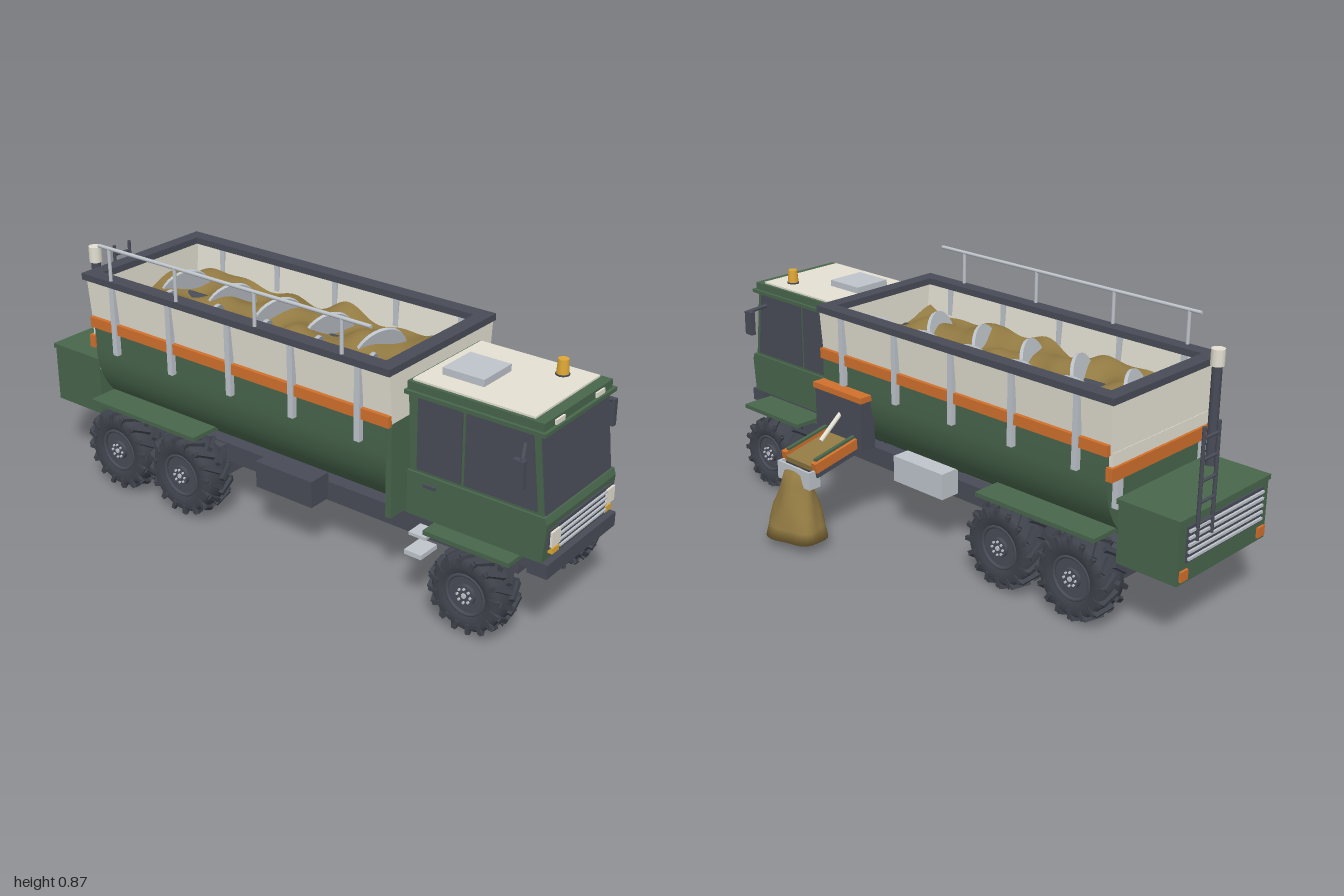
import * as THREE from 'three';
import { toCreasedNormals } from 'three/addons/utils/BufferGeometryUtils.js';

const paint = (name, color) => new THREE.MeshStandardMaterial({ name, color });

export function createModel() {
  const root = new THREE.Group();
  root.name = 'hopperTruck';
  const green = paint('green', 0x48664c), cream = paint('cream', 0xe4e0d3), dark = paint('darkSteel', 0x484c57);
  const rubber = paint('rubber', 0x3e424b), glass = paint('glass', 0x484b57), orange = paint('orange', 0xd0702c);
  const light = paint('lightSteel', 0xbec4cb), sand = paint('sand', 0x927a42), amber = paint('amber', 0xdfa836);
  cream.side = sand.side = THREE.DoubleSide;
  const C = -0.18, B = -0.145; // centre lines of cab and body

  const add = (name, mat, geo, parent = root) => {
    const m = new THREE.Mesh(geo, mat);
    m.name = name;
    parent.add(m);
    return m;
  };
  // box given by its extents
  const box = (name, mat, x0, x1, y0, y1, z0, z1, parent) => {
    const m = add(name, mat, new THREE.BoxGeometry(x1 - x0, y1 - y0, z1 - z0), parent);
    m.position.set((x0 + x1) / 2, (y0 + y1) / 2, (z0 + z1) / 2);
  };
  // the same box on both sides of a centre line
  const pair = (name, mat, c, u0, u1, ...rest) => {
    box(name, mat, c + u0, c + u1, ...rest);
    box(name, mat, c - u1, c - u0, ...rest);
  };
  const rod = (name, mat, a, b, r, parent) => {
    const p = new THREE.Vector3(...a), d = new THREE.Vector3(...b).sub(p);
    const m = add(name, mat, new THREE.CylinderGeometry(r, r, d.length(), 12), parent);
    m.position.copy(p).addScaledVector(d, 0.5);
    m.quaternion.setFromUnitVectors(new THREE.Vector3(0, 1, 0), d.normalize());
  };
  // side profile of (z, y) points extruded across x
  const side = (name, mat, pts, x0, x1) => {
    const s = new THREE.Shape(pts.map(p => new THREE.Vector2(...p)));
    const g = new THREE.ExtrudeGeometry(s, { depth: x1 - x0, bevelEnabled: false });
    add(name, mat, g.rotateY(-Math.PI / 2).translate(x1, 0, 0));
  };

  // Chassis
  pair('frameRail', dark, B, 0.1, 0.15, 0.175, 0.24, -0.92, 0.86);
  for (const z of [-0.9, 0.08, 0.33, 0.6]) box('crossMember', dark, B - 0.1, B + 0.1, 0.185, 0.23, z - 0.025, z + 0.025);
  box('frontAxle', dark, -0.31, 0.02, 0.115, 0.2, 0.73, 0.8);
  box('rearBogie', dark, B - 0.175, B + 0.175, 0.12, 0.235, -0.73, -0.26);
  box('toolTank', light, 0.01, 0.085, 0.195, 0.285, -0.06, 0.165);
  box('sideTank', dark, -0.375, -0.29, 0.18, 0.27, -0.06, 0.165);
  box('cabStep', light, -0.42, -0.34, 0.185, 0.2, 0.55, 0.61);
  box('cabStepTop', light, -0.4, -0.34, 0.24, 0.25, 0.55, 0.61);

  // Wheels with chevron lugs
  const addWheel = (x, z, R, out) => {
    const w = new THREE.Group();
    w.name = 'wheel';
    const k = R / 0.14;
    const tyre = [[0.068, -0.045], [0.085, -0.054], [0.112, -0.056], [0.124, -0.046], [0.128, -0.02], [0.128, 0.02],
      [0.124, 0.046], [0.112, 0.056], [0.085, 0.054], [0.068, 0.045]].map(p => new THREE.Vector2(p[0] * k, p[1]));
    add('tyre', rubber, new THREE.LatheGeometry(tyre, 40), w).rotation.z = Math.PI / 2;
    for (let i = 0; i < 32; i++) {
      const s = i % 2 ? 1 : -1, lug = new THREE.Group();
      lug.name = 'treadLug';
      lug.rotation.x = i / 32 * Math.PI * 2;
      const tread = add('lug', rubber, new THREE.BoxGeometry(0.062, 0.018, 0.014), lug);
      tread.position.set(s * 0.026, R - 0.01, 0);
      tread.rotation.set(0, s * 0.6, -s * 0.12);
      box('shoulderLug', rubber, s * 0.053 - 0.006, s * 0.053 + 0.006, R - 0.042, R - 0.011, -0.025, -0.011, lug);
      w.add(lug);
    }
    const disc = (name, mat, r, h, px) => {
      const d = add(name, mat, new THREE.CylinderGeometry(r, r, h, 28), w);
      d.rotation.z = Math.PI / 2;
      d.position.x = px;
    };
    disc('rim', dark, 0.07 * k, 0.08, 0);
    disc('hub', dark, 0.032, 0.1, out * 0.002);
    disc('hubCap', light, 0.008, 0.106, out * 0.003);
    const ring = add('rimRing', dark, new THREE.TorusGeometry(0.068 * k, 0.006, 8, 32), w);
    ring.rotation.y = Math.PI / 2;
    ring.position.x = out * 0.045;
    for (let i = 0; i < 8; i++) {
      const a = i / 8 * Math.PI * 2, y = Math.cos(a) * 0.022, q = Math.sin(a) * 0.022;
      rod('wheelBolt', light, [out * 0.05, y, q], [out * 0.057, y, q], 0.004, w);
    }
    w.position.set(x, R, z);
    root.add(w);
  };
  for (const s of [-1, 1]) {
    addWheel(B + s * 0.228, 0.765, 0.13, s);
    for (const z of [-0.35, -0.64]) addWheel(B + s * 0.228, z, 0.142, s);
  }
  pair('rearFender', green, B, 0.14, 0.295, 0.298, 0.312, -0.735, -0.265);
  pair('frontFender', green, B, 0.15, 0.27, 0.268, 0.282, 0.61, 0.9);

  // Cab
  side('cabLower', green, [[0.52, 0.29], [0.975, 0.29], [0.985, 0.41], [0.978, 0.43], [0.52, 0.43]], C - 0.19, C + 0.19);
  side('cabUpper', green, [[0.525, 0.425], [0.97, 0.425], [0.942, 0.68], [0.515, 0.68]], C - 0.182, C + 0.182);
  box('bumper', dark, C - 0.19, C + 0.19, 0.245, 0.29, 0.93, 0.995);
  box('cabFloor', dark, C - 0.16, C + 0.16, 0.24, 0.29, 0.53, 0.93);
  const screen = add('windscreen', glass, new THREE.BoxGeometry(0.354, 0.237, 0.008));
  screen.position.set(C, 0.55, 0.958);
  screen.rotation.x = -0.11;
  for (const s of [-1, 1]) {
    const x = C + s * 0.183, m = C + s * 0.245;
    side('frontWindow', glass, [[0.712, 0.44], [0.95, 0.44], [0.925, 0.667], [0.712, 0.667]], x - 0.004, x + 0.004);
    box('rearWindow', glass, x - 0.004, x + 0.004, 0.44, 0.667, 0.55, 0.7);
    box('doorHandle', dark, x + s * 0.01 - 0.004, x + s * 0.01 + 0.004, 0.395, 0.405, 0.58, 0.62);
    rod('mirrorArm', dark, [x, 0.63, 0.9], [m, 0.612, 0.93], 0.007);
    box('mirror', dark, m - 0.009, m + 0.009, 0.53, 0.615, 0.905, 0.94);
  }
  box('rearWindowPane', glass, C - 0.13, C + 0.13, 0.47, 0.64, 0.512, 0.518);
  box('visor', green, C - 0.193, C + 0.193, 0.668, 0.68, 0.505, 0.965);
  box('roofEdge', green, C - 0.183, C + 0.183, 0.68, 0.705, 0.51, 0.955);
  box('roofTop', cream, C - 0.172, C + 0.172, 0.7, 0.711, 0.52, 0.92);
  pair('roofLamp', cream, C, 0.085, 0.13, 0.683, 0.698, 0.95, 0.961);
  box('roofHatch', light, -0.28, -0.14, 0.705, 0.733, 0.57, 0.71);
  rod('beaconBase', dark, [-0.07, 0.708, 0.835], [-0.07, 0.716, 0.835], 0.021);
  add('beacon', amber, new THREE.CylinderGeometry(0.016, 0.019, 0.046, 20)).position.set(-0.07, 0.737, 0.835);
  box('grille', dark, C - 0.13, C + 0.13, 0.31, 0.395, 0.97, 0.99);
  for (let i = 0; i < 4; i++) box('grilleSlat', light, C - 0.128, C + 0.128, 0.322 + i * 0.019, 0.328 + i * 0.019, 0.985, 0.996);
  pair('headlampFrame', dark, C, 0.12, 0.178, 0.332, 0.391, 0.97, 0.988);
  pair('headlamp', cream, C, 0.128, 0.173, 0.338, 0.385, 0.98, 0.995);
  pair('indicator', amber, C, 0.128, 0.163, 0.312, 0.33, 0.97, 0.992);

  // Rounded tank below the hopper
  const u = new THREE.Shape();
  u.moveTo(-0.252, 0.57).lineTo(-0.252, 0.48).bezierCurveTo(-0.25, 0.35, -0.16, 0.235, -0.03, 0.235);
  u.lineTo(0.03, 0.235).bezierCurveTo(0.16, 0.235, 0.25, 0.35, 0.252, 0.48).lineTo(0.252, 0.57);
  const tank = new THREE.ExtrudeGeometry(u, { depth: 1.205, bevelEnabled: false, curveSegments: 14 });
  add('tank', green, toCreasedNormals(tank, 0.5)).position.set(B, 0, -0.74);
  box('frontBulkhead', green, B - 0.25, B + 0.25, 0.265, 0.57, 0.462, 0.482);

  // Hopper with flared sides and upright ends
  const wall = new THREE.CylinderGeometry(0.757, 0.714, 0.17, 4, 1, true).rotateY(Math.PI / 4).toNonIndexed();
  wall.scale(0.49, 1, 1);
  const wp = wall.attributes.position;
  for (let i = 0; i < wp.count; i++) wp.setZ(i, Math.sign(wp.getZ(i)) * 0.616);
  wall.computeVertexNormals();
  add('hopperWalls', cream, wall).position.set(B, 0.65, -0.135);
  box('rearApron', cream, B - 0.247, B + 0.247, 0.525, 0.57, -0.753, -0.738);
  box('rearStripe', orange, B - 0.258, B + 0.258, 0.485, 0.528, -0.762, -0.738);
  pair('rearPost', light, B, 0.2, 0.225, 0.39, 0.485, -0.76, -0.738);
  pair('sideStripe', orange, B, 0.245, 0.264, 0.562, 0.597, -0.745, 0.48);
  pair('sideRim', dark, B, 0.22, 0.27, 0.725, 0.747, -0.765, 0.485);
  for (const z of [-0.765, 0.437]) box('endRim', dark, B - 0.22, B + 0.22, 0.725, 0.747, z, z + 0.048);
  for (const z of [0.37, 0.12, -0.13, -0.38, -0.63]) pair('rib', light, B, 0.252, 0.27, 0.49, 0.725, z - 0.01, z + 0.01);

  // Sand load with the auger flights rising out of it
  const load = new THREE.PlaneGeometry(0.49, 1.2, 28, 64).rotateX(-Math.PI / 2);
  const lp = load.attributes.position;
  for (let i = 0; i < lp.count; i++) {
    const x = lp.getX(i), z = lp.getZ(i);
    lp.setY(i, 0.022 * Math.sin(z * 26 + x * 11) * Math.cos(x * 13 - z * 4) + 0.012 * Math.sin(z * 13 - x * 23));
  }
  load.computeVertexNormals();
  add('sandLoad', sand, load).position.set(B, 0.625, -0.14);
  for (const [x, z0, n, turn] of [[-0.25, -0.57, 5, 0.33], [-0.05, -0.66, 6, -0.36]]) {
    rod('augerShaft', dark, [x, 0.588, -0.73], [x, 0.588, 0.45], 0.019);
    for (let i = 0; i < n; i++) {
      const f = add('augerFlight', light, new THREE.CylinderGeometry(0.096, 0.096, 0.012, 28).rotateX(Math.PI / 2));
      f.position.set(x, 0.59, z0 + i * 0.209);
      f.rotation.set(0.3, turn, 0);
    }
  }

  // Hand rail
  rod('handRail', light, [-0.407, 0.857, 0.415], [-0.407, 0.857, -0.68], 0.006);
  for (const z of [0.31, -0.02, -0.345, -0.635]) rod('railPost', light, [-0.407, 0.74, z], [-0.407, 0.857, z], 0.006);

  // Rear engine box, grille, ladder and exhaust
  box('engineBox', green, -0.37, 0.08, 0.22, 0.42, -0.98, -0.765);
  box('engineLid', green, -0.375, 0.085, 0.412, 0.428, -0.985, -0.76);
  box('rearGrille', dark, B - 0.19, B + 0.19, 0.285, 0.4, -0.986, -0.975);
  for (let i = 0; i < 5; i++) box('rearSlat', light, B - 0.188, B + 0.188, 0.294 + i * 0.022, 0.302 + i * 0.022, -0.993, -0.98);
  pair('tailLamp', orange, B, 0.18, 0.215, 0.232, 0.265, -0.988, -0.975);
  for (const x of [-0.06, 0.012]) rod('ladderPost', dark, [x, 0.35, -0.993], [x, 0.695, -0.993], 0.006);
  for (let i = 0; i < 5; i++) rod('ladderRung', dark, [-0.06, 0.4 + i * 0.065, -0.993], [0.012, 0.4 + i * 0.065, -0.993], 0.005);
  rod('exhaustPipe', dark, [-0.308, 0.42, -0.812], [-0.308, 0.76, -0.812], 0.016);
  rod('exhaustCap', cream, [-0.308, 0.747, -0.812], [-0.308, 0.8, -0.812], 0.022);

  // Discharge gate and sloping chute
  box('gateHousing', dark, 0.09, 0.15, 0.29, 0.468, 0.25, 0.475);
  box('gateTop', orange, 0.1, 0.154, 0.465, 0.485, 0.245, 0.482);
  const chute = new THREE.Group();
  chute.name = 'chute';
  chute.position.set(0.145, 0.312, 0.358);
  chute.rotation.z = -0.19;
  box('chuteFloor', dark, 0, 0.19, -0.03, -0.012, -0.085, 0.085, chute);
  box('chuteSand', sand, 0, 0.19, -0.012, 0.008, -0.065, 0.065, chute);
  for (const s of [-1, 1]) {
    box('chuteSide', orange, 0, 0.19, -0.013, 0.022, s * 0.075 - 0.011, s * 0.075 + 0.011, chute);
    box('chuteLip', green, 0, 0.175, 0.022, 0.03, s * 0.068 - 0.006, s * 0.068 + 0.006, chute);
  }
  root.add(chute);
  rod('chuteStrut', cream, [0.145, 0.4, 0.358], [0.235, 0.328, 0.358], 0.008);
  for (const z of [0.28, 0.43]) box('spoutCheek', light, 0.31, 0.358, 0.21, 0.272, z, z + 0.008);
  box('spoutFront', light, 0.35, 0.358, 0.21, 0.272, 0.28, 0.438);

  // Falling sand
  const pts = [[0, 0], [0.088, 0], [0.081, 0.04], [0.069, 0.09], [0.054, 0.14], [0.044, 0.18], [0.034, 0.22], [0, 0.235]];
  const pile = new THREE.LatheGeometry(pts.map(p => new THREE.Vector2(...p)), 36);
  const pp = pile.attributes.position;
  for (let i = 0; i < pp.count; i++) {
    const x = pp.getX(i), y = pp.getY(i), z = pp.getZ(i), a = Math.atan2(z, x);
    const k = 1 + 0.06 * Math.sin(a * 5 + y * 18) + 0.04 * Math.sin(a * 3 - y * 30);
    pp.setXYZ(i, x * k - y * 0.05, y, z * k * 1.3);
  }
  pile.computeVertexNormals();
  add('sandPile', sand, pile).position.set(0.352, 0.03, 0.36);
  return root;
}
